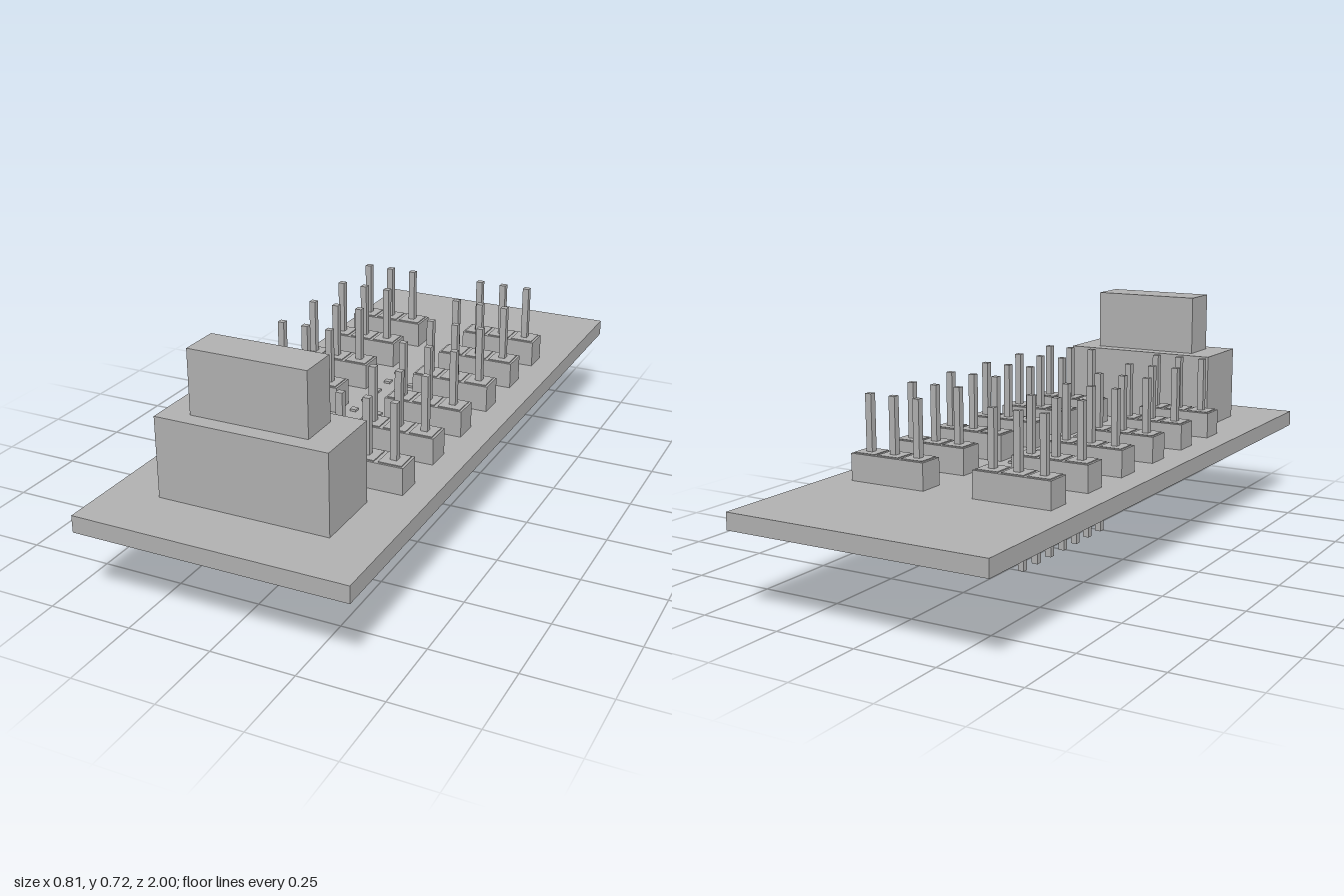
import * as THREE from 'three';

const grey = new THREE.MeshStandardMaterial({ color: 0xb0b0b0 });
grey.name = 'plain grey';

const PITCH = 0.081;
const PIN = 0.02;

// Box given by its centre in plan, its plan size and its bottom and top heights
function block(parent, name, x, z, width, depth, bottom, top) {
  const mesh = new THREE.Mesh(new THREE.BoxGeometry(width, top - bottom, depth), grey);
  mesh.name = name;
  mesh.position.set(x, (bottom + top) / 2, z);
  parent.add(mesh);
  return mesh;
}

// Three-pin upright header on top of the board
function threePinHeader(x, z) {
  const header = new THREE.Group();
  header.name = 'threePinHeader';
  header.position.set(x, 0, z);
  block(header, 'headerBody', 0, 0, 0.245, 0.081, 0.3, 0.38);
  for (let i = -1; i <= 1; i++) {
    block(header, 'headerRidge', i * PITCH, 0, 0.069, 0.069, 0.38, 0.383);
    block(header, 'headerPin', i * PITCH, 0, PIN, PIN, 0.243, 0.55);
  }
  return header;
}

// Two-row header hanging below the board
function doubleRowHeader() {
  const header = new THREE.Group();
  header.name = 'doubleRowHeader';
  block(header, 'socketBody', 0, 0, 0.163, 0.567, 0.17, 0.25);
  for (let row = -3; row <= 3; row++) {
    for (const side of [-1, 1]) {
      const x = side * PITCH / 2;
      block(header, 'socketRidge', x, row * PITCH, 0.069, 0.069, 0.167, 0.17);
      block(header, 'socketPin', x, row * PITCH, PIN, PIN, 0, 0.307);
    }
  }
  return header;
}

// Stepped connector near the front edge, with four legs through the board
function powerConnector() {
  const connector = new THREE.Group();
  connector.name = 'powerConnector';
  connector.position.z = 0.708;
  block(connector, 'connectorBase', 0, 0, 0.512, 0.215, 0.3, 0.537);
  block(connector, 'connectorPlug', 0, 0, 0.35, 0.12, 0.537, 0.724);
  for (const x of [-0.16, 0.16]) {
    for (const z of [-0.054, 0.058]) block(connector, 'connectorLeg', x, z, PIN, PIN, 0.213, 0.3);
  }
  return connector;
}

export function createModel() {
  const model = new THREE.Group();
  model.name = 'circuitBoard';
  block(model, 'board', 0, 0, 0.81, 2, 0.25, 0.3);
  // Two columns of six headers
  for (let i = 0; i < 6; i++) {
    for (const x of [-0.203, 0.203]) model.add(threePinHeader(x, 0.487 - i * 0.2035));
  }
  model.add(doubleRowHeader(), powerConnector());
  return model;
}
